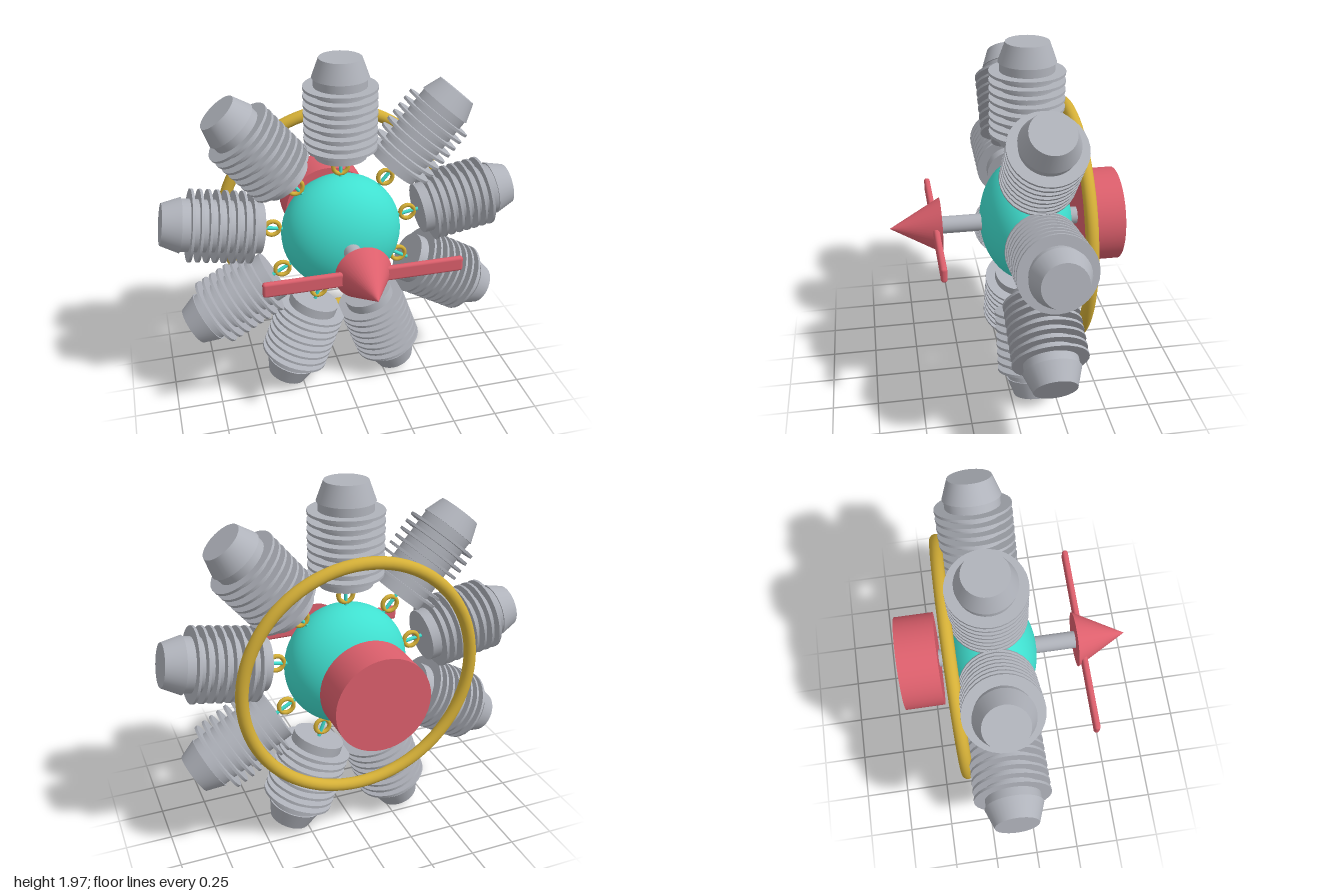
import * as THREE from 'three';
import { RoundedBoxGeometry } from 'three/addons/geometries/RoundedBoxGeometry.js';

const CENTER_Y = 0.977; // height of the engine axis
const BANK_Z = -0.126; // plane of the cylinder bank
const CYLINDERS = 9;

function material(name, color) {
  const m = new THREE.MeshStandardMaterial({ color });
  m.name = name;
  return m;
}

function addMesh(parent, name, geometry, mat, x = 0, y = 0, z = 0) {
  const mesh = new THREE.Mesh(geometry, mat);
  mesh.name = name;
  mesh.position.set(x, y, z);
  parent.add(mesh);
  return mesh;
}

export function createModel() {
  const steel = material('steel grey', 0xb0b3bb);
  const teal = material('turquoise', 0x40e0d0);
  const gold = material('gold', 0xd4af37);
  const red = material('soft red', 0xdc5f6c);

  const model = new THREE.Group();
  model.name = 'radialEngine';
  const engine = new THREE.Group();
  engine.name = 'engine';
  engine.position.y = CENTER_Y;
  model.add(engine);

  // Flattened crankcase
  addMesh(engine, 'crankcase', new THREE.SphereGeometry(0.337, 48, 32), teal, 0, 0, BANK_Z).scale.z = 0.74;

  // Finned cylinders, each with a push rod and a small ring at its foot
  const barrel = new THREE.CylinderGeometry(0.142, 0.142, 0.443, 32);
  const head = new THREE.CylinderGeometry(0.113, 0.15, 0.101, 32);
  const fin = new THREE.CylinderGeometry(0.197, 0.197, 0.014, 32);
  const rod = new THREE.CylinderGeometry(0.01, 0.01, 0.16, 12);
  const eyelet = new THREE.TorusGeometry(0.041, 0.012, 12, 28);
  for (let i = 0; i < CYLINDERS; i++) {
    const unit = new THREE.Group();
    unit.name = `cylinder${i + 1}`;
    unit.position.z = BANK_Z;
    unit.rotation.z = -i * 2 * Math.PI / CYLINDERS;
    engine.add(unit);
    addMesh(unit, 'barrel', barrel, steel, 0, 0.6785);
    addMesh(unit, 'head', head, steel, 0, 0.9455);
    for (let f = 0; f < 8; f++) addMesh(unit, 'coolingFin', fin, steel, 0, 0.518 + f * 0.0462);
    addMesh(unit, 'pushRod', rod, teal, 0, 0.385);
    addMesh(unit, 'eyelet', eyelet, gold, 0, 0.393);
  }

  // Exhaust collector ring behind the cylinders
  addMesh(engine, 'collectorRing', new THREE.TorusGeometry(0.637, 0.033, 20, 80), gold, 0, 0, -0.34);

  // Parts along the crank axis
  const axial = (name, rTop, rBottom, z0, z1, mat) => {
    const g = new THREE.CylinderGeometry(rTop, rBottom, z1 - z0, 40);
    addMesh(engine, name, g, mat, 0, 0, (z0 + z1) / 2).rotation.x = Math.PI / 2;
  };
  axial('crankshaft', 0.047, 0.047, -0.6, 0.36, steel);
  axial('spinner', 0, 0.151, 0.34, 0.615, red);
  axial('rearHousing', 0.255, 0.255, -0.625, -0.412, red);

  // Two-bladed propeller
  addMesh(engine, 'propeller', new RoundedBoxGeometry(1.06, 0.083, 0.033, 4, 0.015), red, 0, 0, 0.372);

  return model;
}
